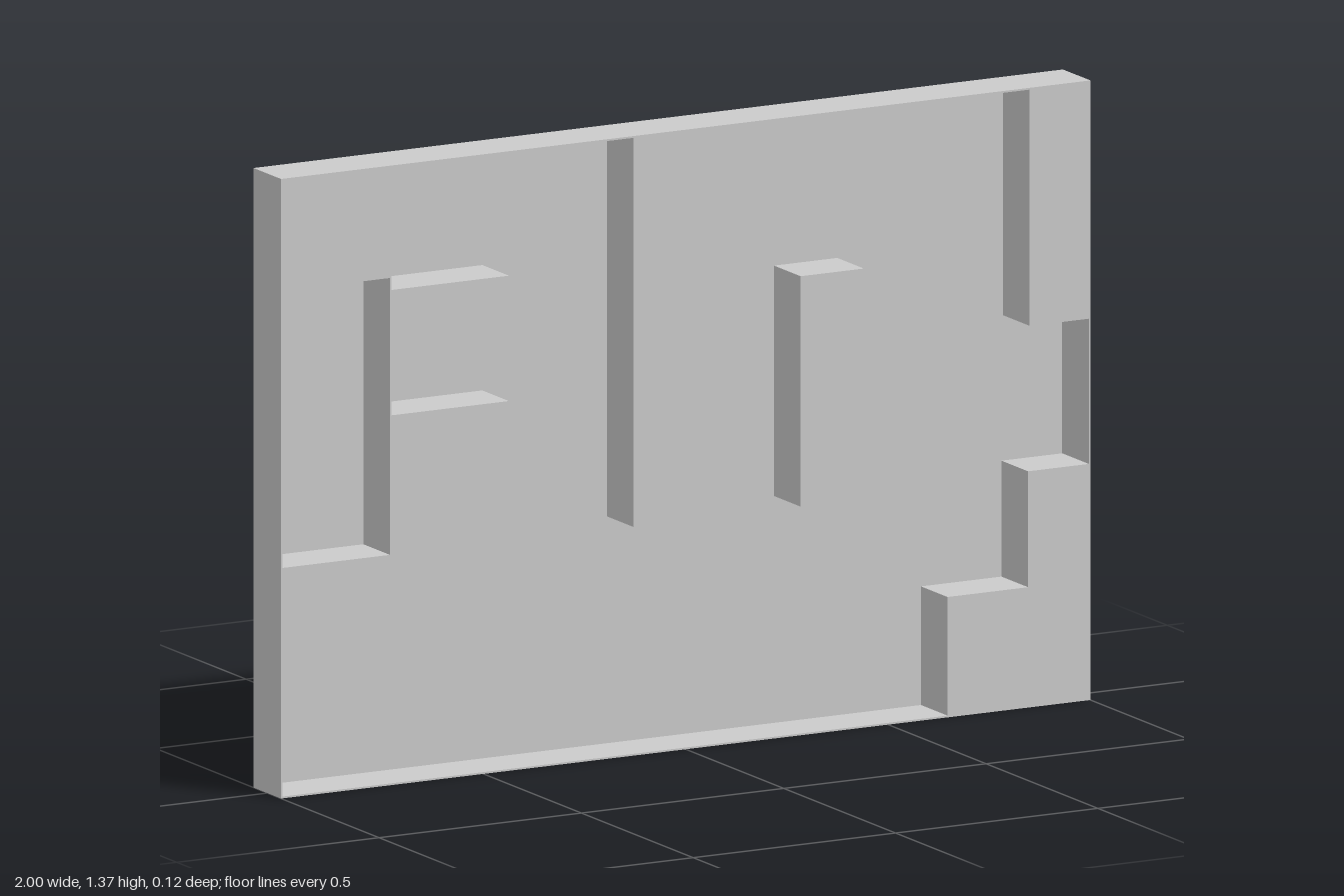
import * as THREE from 'three';

const W = 2, H = 1.374, D = 0.123; // outer size
const T = 0.004;                   // sheet thickness of floor and thin walls

export function createModel() {
  const group = new THREE.Group();
  const material = new THREE.MeshStandardMaterial({ color: 0xcccccc, flatShading: true });
  const zBack = -D / 2, zFloor = zBack + T, zFront = D / 2;

  const add = (name, geometry) => {
    const mesh = new THREE.Mesh(geometry, material);
    mesh.name = name;
    group.add(mesh);
  };

  // Box given by its front-view rectangle, rising from the back panel to the front
  const block = (name, x0, x1, y0, y1, z0 = zFloor, z1 = zFront) => {
    const g = new THREE.BoxGeometry(x1 - x0, y1 - y0, z1 - z0);
    g.translate((x0 + x1) / 2, (y0 + y1) / 2, (z0 + z1) / 2);
    add(name, g);
  };

  const outline = (points) => new THREE.Shape(points.map(([x, y]) => new THREE.Vector2(x, y)));
  const extrude = (name, shape) => {
    const g = new THREE.ExtrudeGeometry(shape, { depth: zFront - zFloor, bevelEnabled: false });
    g.translate(0, 0, zFloor);
    add(name, g);
  };

  // Extents inside the thin outer rim
  const L = -W / 2 + T, R = W / 2 - T, B = T, top = H - T;

  // Tray: back panel and surrounding rim
  block('backPanel', -W / 2, W / 2, 0, H, zBack, zFloor);
  const rim = outline([[-W / 2, 0], [W / 2, 0], [W / 2, H], [-W / 2, H]]);
  rim.holes.push(outline([[L, B], [L, top], [R, top], [R, B]]));
  extrude('outerRim', rim);

  // Left compartment: solid upper block, thin side wall and thin shelf
  const wallX = -0.727, shelfY = 0.507;
  block('upperLeftBlock', L, wallX, 1.125, top);
  block('compartmentWall', wallX - T, wallX, shelfY, 1.125);
  block('compartmentShelf', L, wallX - T, shelfY, shelfY + T);

  // Two bars reaching out from the compartment wall
  for (const [y0, y1] of [[0.785, 0.82], [1.06, 1.098]]) {
    block('sideBar', wallX, -0.437, y0, y1);
  }

  // Hanging divider and free-standing island
  block('hangingDivider', -0.129, -0.096, shelfY, top);
  block('island', 0.284, 0.44, shelfY, 1.018);

  // Right-hand corners
  block('upperRightBlock', 0.85, R, 0.846, top);
  extrude('steppedCorner', outline([
    [0.647, B], [R, B], [R, 0.524], [0.846, 0.524], [0.846, 0.267], [0.647, 0.267],
  ]));

  return group;
}
